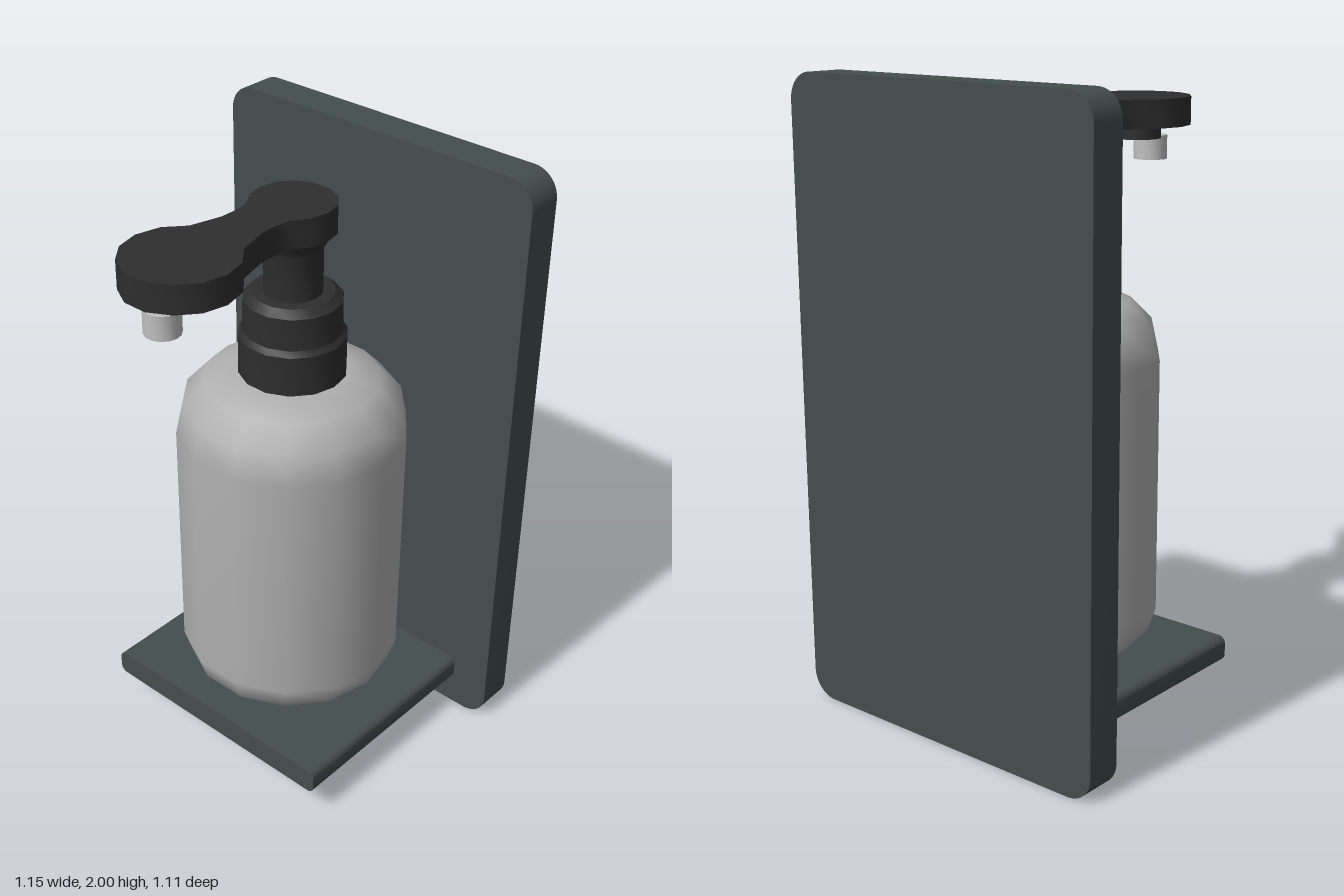
import * as THREE from 'three';
import { toCreasedNormals } from 'three/addons/utils/BufferGeometryUtils.js';

const SIDES = 14;
const AXIS_Z = -0.08; // centre line of bottle and pump

const material = (name, color) => {
  const m = new THREE.MeshStandardMaterial({ color });
  m.name = name;
  return m;
};

function part(name, geometry, mat) {
  const mesh = new THREE.Mesh(geometry, mat);
  mesh.name = name;
  return mesh;
}

// Revolved part with a polygonal outline, vertices on the x axis
function turned(name, profile, z, mat, crease = 0.6) {
  const points = profile.map(([r, y]) => new THREE.Vector2(r, y));
  let geometry = new THREE.LatheGeometry(points, SIDES, Math.PI / 2);
  if (crease) geometry = toCreasedNormals(geometry, crease);
  geometry.translate(0, 0, z);
  return part(name, geometry, mat);
}

// Slab with rounded corners in the front plane
function slab(name, halfWidth, y0, y1, z0, z1, r, mat) {
  const w = halfWidth;
  const s = new THREE.Shape();
  s.moveTo(-w + r, y0);
  s.lineTo(w - r, y0);
  s.absarc(w - r, y0 + r, r, -Math.PI / 2, 0);
  s.absarc(w - r, y1 - r, r, 0, Math.PI / 2);
  s.absarc(-w + r, y1 - r, r, Math.PI / 2, Math.PI);
  s.absarc(-w + r, y0 + r, r, Math.PI, Math.PI * 1.5);
  const g = new THREE.ExtrudeGeometry(s, { depth: z1 - z0, bevelEnabled: false, curveSegments: 5 });
  g.translate(0, 0, z0);
  return part(name, toCreasedNormals(g, 0.6), mat);
}

export function createModel() {
  const slate = material('slate', 0x434e4d);
  const grey = material('bottleGrey', 0xb0b0b0);
  const black = material('pumpBlack', 0x2e2e2e);
  const silver = material('nozzleSilver', 0xc0c0c0);

  const model = new THREE.Group();
  model.name = 'wallSoapDispenser';

  // Wall mount
  model.add(slab('backBoard', 0.575, 0, 2, -0.555, -0.435, 0.085, slate));
  model.add(slab('shelf', 0.442, 0.105, 0.19, -0.436, 0.308, 0.025, slate));

  // Bottle with rounded shoulders and base
  model.add(turned('bottle', [
    [0, 0.192], [0.272, 0.192], [0.342, 0.26], [0.365, 0.335],
    [0.365, 1.14], [0.343, 1.24], [0.275, 1.31], [0.18, 1.34], [0, 1.345],
  ], AXIS_Z, grey, 0));

  // Stepped collar and flared stem
  const pump = new THREE.Group();
  pump.name = 'pump';
  model.add(pump);
  pump.add(turned('collar', [
    [0, 1.335], [0.168, 1.335], [0.168, 1.47], [0.155, 1.487],
    [0.153, 1.59], [0.128, 1.612], [0, 1.612],
  ], AXIS_Z, black));
  pump.add(turned('stem', [
    [0, 1.6], [0.091, 1.6], [0.091, 1.76], [0.12, 1.812], [0, 1.812],
  ], AXIS_Z, black));

  // Press head: half outline (x, z) from back to front, mirrored
  const half = [
    [0.03, -0.205], [0.082, -0.181], [0.118, -0.138], [0.13, -0.08], [0.118, -0.022],
    [0.084, 0.03], [0.076, 0.08], [0.077, 0.138], [0.104, 0.24], [0.156, 0.3],
    [0.175, 0.38], [0.157, 0.457], [0.108, 0.517], [0.039, 0.555],
  ];
  const outline = [...half, ...half.map(([x, z]) => [-x, z]).reverse()];
  const headShape = new THREE.Shape(outline.map(([x, z]) => new THREE.Vector2(x, z)));
  const headGeometry = new THREE.ExtrudeGeometry(headShape, { depth: 0.09, bevelEnabled: false });
  headGeometry.rotateX(Math.PI / 2).translate(0, 1.9, 0);
  pump.add(part('pressHead', toCreasedNormals(headGeometry, 0.6), black));

  // Outlet below the head, with a hollow tip
  pump.add(turned('outletBoss', [
    [0, 1.765], [0.077, 1.765], [0.077, 1.815], [0, 1.815],
  ], 0.385, black));
  pump.add(turned('nozzle', [
    [0, 1.73], [0.024, 1.73], [0.024, 1.693], [0.055, 1.693], [0.055, 1.77], [0, 1.77],
  ], 0.456, silver));

  return model;
}
